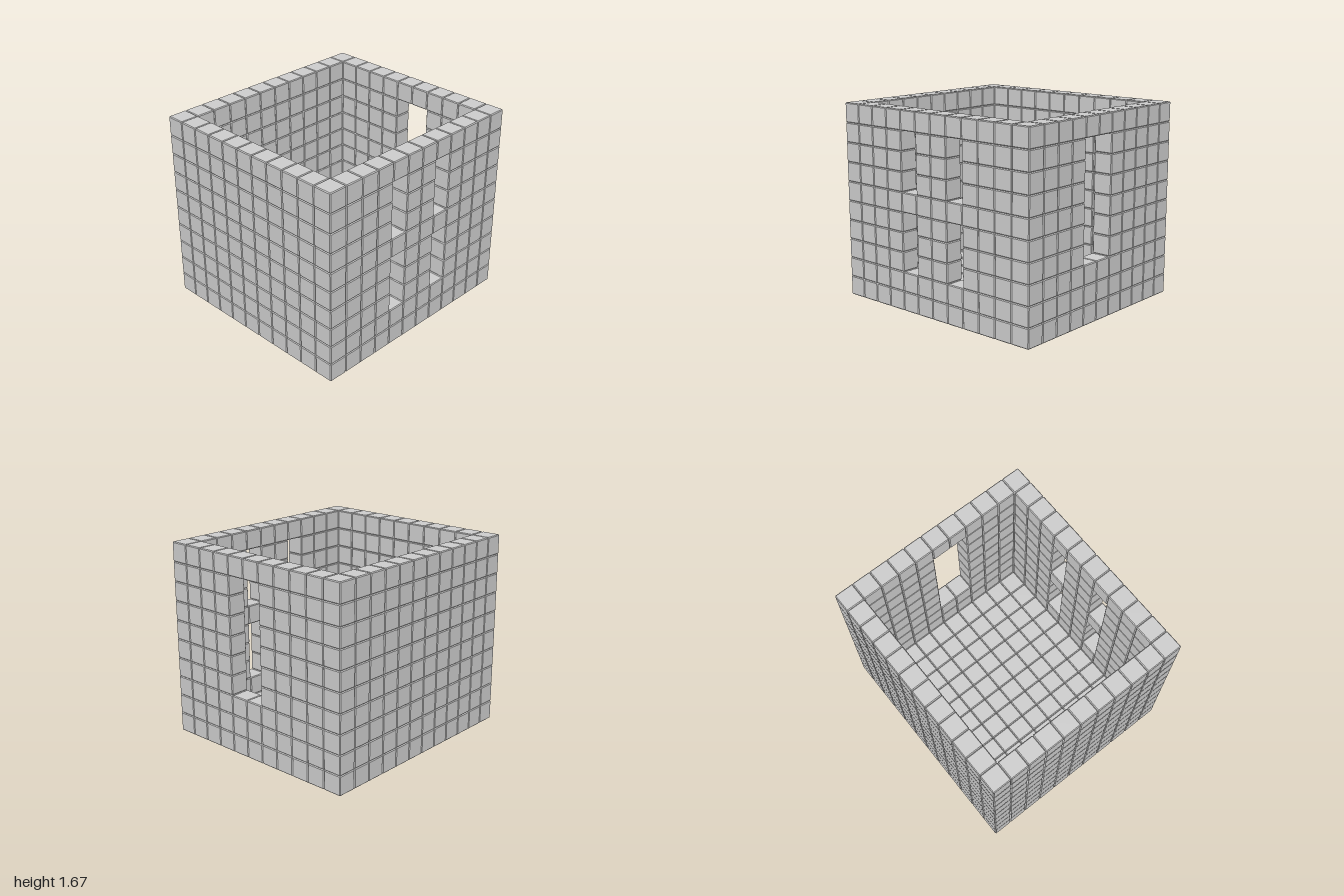
import * as THREE from 'three';
import { mergeGeometries } from 'three/addons/utils/BufferGeometryUtils.js';
import { ConvexGeometry } from 'three/addons/geometries/ConvexGeometry.js';

const CELL = 1 / 6, BEVEL = 0.007;
const NX = 12, NY = 10, NZ = 11; // blocks along each axis

// One cube with all edges chamfered
function blockGeometry() {
  const h = CELL / 2, k = h - BEVEL, points = [];
  for (const sx of [-1, 1]) for (const sy of [-1, 1]) for (const sz of [-1, 1]) {
    points.push(
      new THREE.Vector3(sx * h, sy * k, sz * k),
      new THREE.Vector3(sx * k, sy * h, sz * k),
      new THREE.Vector3(sx * k, sy * k, sz * h));
  }
  return new ConvexGeometry(points);
}

export function createModel() {
  const model = new THREE.Group();
  model.name = 'blockHouse';
  const material = new THREE.MeshStandardMaterial({ color: 0xcccccc, flatShading: true });
  const block = blockGeometry();

  // Fills a box of cells [from, to), leaving out those where isOpen(x, y, z)
  // (z index 0 is the front row)
  function addBlocks(name, from, to, isOpen = () => false) {
    const parts = [];
    for (let x = from[0]; x < to[0]; x++)
      for (let y = from[1]; y < to[1]; y++)
        for (let z = from[2]; z < to[2]; z++) {
          if (isOpen(x, y, z)) continue;
          parts.push(block.clone().translate(
            (x + 0.5 - NX / 2) * CELL, (y + 0.5) * CELL, (NZ / 2 - z - 0.5) * CELL));
        }
    const mesh = new THREE.Mesh(mergeGeometries(parts), material);
    mesh.name = name;
    model.add(mesh);
  }

  // Two narrow front windows, each split by a crossbar; one wide side window
  const frontWindow = (x, y) => (x === 4 || x === 7) && y >= 2 && y <= 8 && y !== 5;
  const sideWindow = (x, y, z) => (z === 4 || z === 5) && y >= 3 && y <= 8;

  addBlocks('floor', [0, 0, 0], [NX, 1, NZ]);
  addBlocks('frontWall', [0, 1, 0], [NX, NY, 1], frontWindow);
  addBlocks('backWall', [0, 1, NZ - 1], [NX, NY, NZ]);
  addBlocks('rightWall', [0, 1, 1], [1, NY, NZ - 1]);
  addBlocks('leftWall', [NX - 1, 1, 1], [NX, NY, NZ - 1], sideWindow);
  return model;
}
